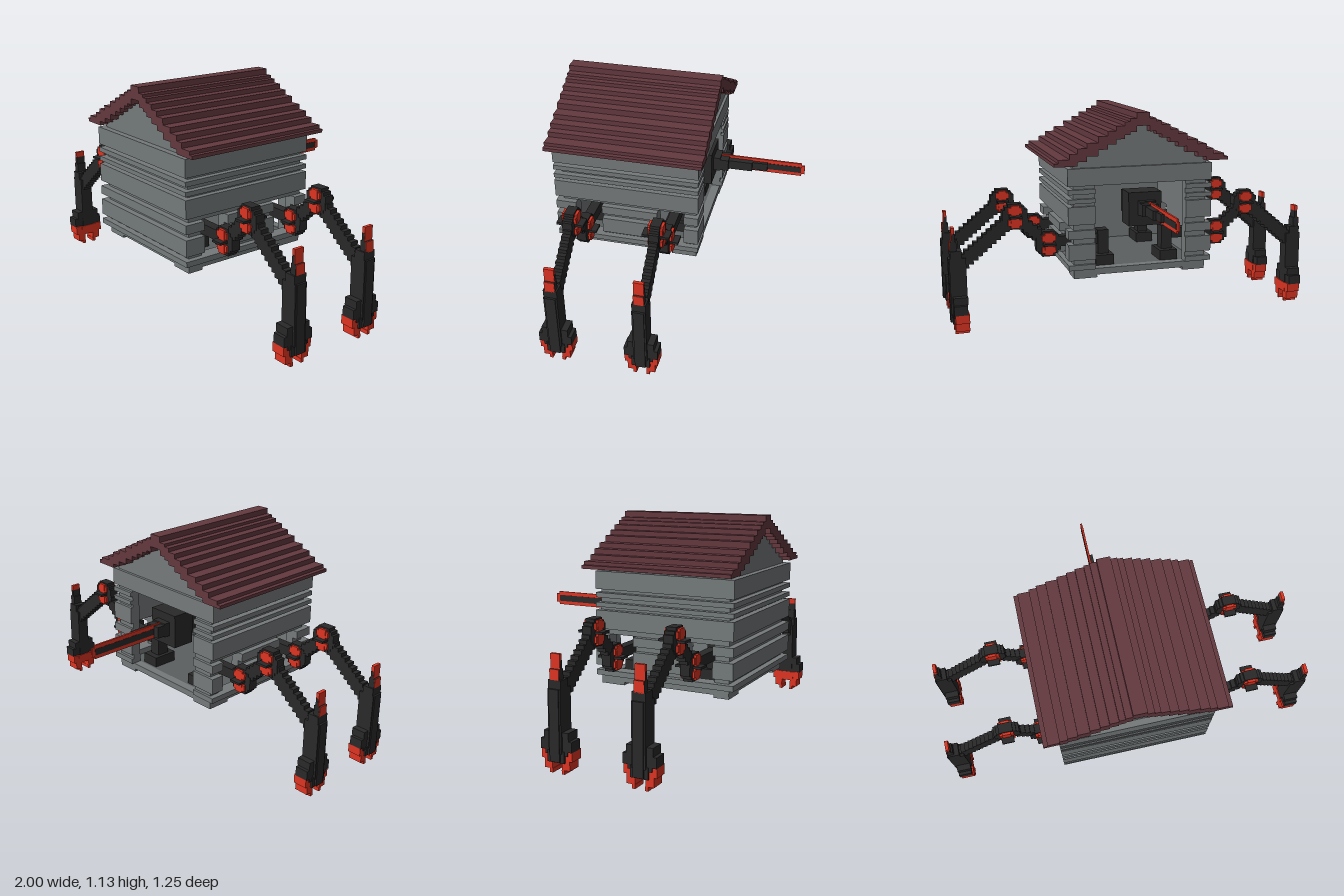
import * as THREE from 'three';

const mat = (name, color) => {
  const m = new THREE.MeshStandardMaterial({ color });
  m.name = name;
  return m;
};

export function createModel() {
  const grey = mat('wall grey', 0x757a7b);
  const floorGrey = mat('floor grey', 0x5b6060);
  const maroon = mat('roof maroon', 0x64393f);
  const dark = mat('iron black', 0x292929);
  const red = mat('accent red', 0xde3422);

  const model = new THREE.Group();
  model.name = 'walkingHut';
  const group = (name, parent = model) => {
    const g = new THREE.Group();
    g.name = name;
    parent.add(g);
    return g;
  };
  // Box given by its limits on each axis
  const box = (parent, name, m, x0, x1, y0, y1, z0, z1) => {
    const mesh = new THREE.Mesh(new THREE.BoxGeometry(x1 - x0, y1 - y0, z1 - z0), m);
    mesh.position.set((x0 + x1) / 2, (y0 + y1) / 2, (z0 + z1) / 2);
    mesh.name = name;
    parent.add(mesh);
    return mesh;
  };

  // Plank walls: bottom and top of each layer, and whether it sticks out
  const walls = group('walls');
  const layers = [
    [0.283, 0.317, 0], [0.317, 0.345, 1], [0.345, 0.37, 0], [0.37, 0.455, 1],
    [0.455, 0.484, 0], [0.484, 0.5, 1], [0.5, 0.53, 1], [0.53, 0.56, 0],
    [0.56, 0.655, 1], [0.655, 0.672, 0], [0.672, 0.695, 1], [0.695, 0.72, 0],
    [0.72, 0.745, 1], [0.745, 0.763, 0], [0.763, 0.855, 1], [0.855, 0.88, 0],
  ];
  for (const [y0, y1, wide] of layers) {
    const x = wide ? 0.395 : 0.365, zf = wide ? 0.613 : 0.58, zb = wide ? -0.145 : -0.13;
    box(walls, 'frontPlank', grey, -x, x, y0, y1, 0.53, zf);
    // Doorway in the back wall
    if (y0 > 0.31 && y1 < 0.765) {
      box(walls, 'backJamb', grey, -x, -0.25, y0, y1, zb, -0.085);
      box(walls, 'backJamb', grey, 0.25, x, y0, y1, zb, -0.085);
    } else box(walls, 'backPlank', grey, -x, x, y0, y1, zb, -0.085);
    // Openings in the sides where the legs pass through
    const spans = y0 >= 0.345 && y1 <= 0.53
      ? [[-0.085, -0.07], [0.07, 0.365], [0.505, 0.53]] : [[-0.085, 0.53]];
    for (const [z0, z1] of spans) {
      box(walls, 'sidePlank', grey, -x, -0.32, y0, y1, z0, z1);
      box(walls, 'sidePlank', grey, 0.32, x, y0, y1, z0, z1);
    }
  }
  for (const s of [-1, 1]) {
    for (const [z0, z1] of [[0.5, 0.58], [-0.13, 0]]) {
      box(walls, 'cornerFoot', grey, s * 0.302 - 0.062, s * 0.302 + 0.062, 0.268, 0.29, z0, z1);
    }
  }
  box(walls, 'floor', floorGrey, -0.33, 0.33, 0.295, 0.315, -0.09, 0.54);

  // Roof boards of uneven width, [outer edge, top], with gables below them
  const roof = group('roof');
  const gables = group('gables');
  const boards = [
    [0.035, 1.135], [0.07, 1.105], [0.1, 1.09], [0.145, 1.07], [0.19, 1.045], [0.24, 1.02],
    [0.3, 0.988], [0.35, 0.962], [0.39, 0.935], [0.45, 0.908], [0.472, 0.89],
  ];
  boards.forEach(([edge, top], i) => {
    const inner = i ? boards[i - 1][0] : 0;
    const bottom = Math.max(0.872, top - 0.068);
    for (const s of [-1, 1]) {
      const xs = [s * inner, s * edge].sort((a, b) => a - b);
      box(roof, 'roofBoard', maroon, ...xs, bottom, top, -0.178, 0.626);
      if (bottom > 0.885 && inner < 0.34) {
        box(gables, 'frontGable', grey, ...xs, 0.87, bottom, 0.53, 0.58);
        box(gables, 'backGable', grey, ...xs, 0.87, bottom, -0.13, -0.085);
      }
    }
  });

  // A stair of small blocks running between two points
  const stair = (parent, name, a, b, n, wx, hy, hz) => {
    for (let i = 0; i < n; i++) {
      const t = (i + 0.5) / n;
      const x = a[0] + (b[0] - a[0]) * t, y = a[1] + (b[1] - a[1]) * t;
      box(parent, name, dark, x - wx, x + wx, y - hy, y + hy, -hz, hz);
    }
  };
  // Blocky round joint with red caps on both faces and a thin pin through it
  const joint = (parent, name, x, y) => {
    const g = group(name, parent);
    for (const [hx, hy] of [[0.066, 0.036], [0.036, 0.068], [0.052, 0.052]]) {
      box(g, 'jointCore', dark, x - hx, x + hx, y - hy, y + hy, -0.025, 0.025);
    }
    for (const yy of [-0.032, 0.032]) {
      box(g, 'jointCap', red, x - 0.037, x + 0.037, y + yy - 0.016, y + yy + 0.016, -0.036, 0.036);
      box(g, 'jointCap', red, x - 0.022, x + 0.022, y + yy - 0.028, y + yy + 0.028, -0.038, 0.038);
    }
    box(g, 'jointPin', dark, x - 0.032, x + 0.032, y - 0.004, y + 0.008, -0.068, 0.068);
  };

  // Four legs; the left pair is built, the right pair is turned half round
  for (const side of [-1, 1]) {
    for (const z of [0, 0.43]) {
      const leg = group(`${side > 0 ? 'left' : 'right'}${z ? 'Front' : 'Back'}Leg`);
      leg.position.z = z;
      if (side < 0) leg.rotation.y = Math.PI;
      // Strut inside the hut
      box(leg, 'strutBase', dark, 0.13, 0.23, 0.315, 0.37, -0.07, 0.07);
      box(leg, 'strutPeg', dark, 0.145, 0.215, 0.28, 0.32, -0.035, 0.035);
      box(leg, 'strutPost', dark, 0.15, 0.21, 0.36, 0.5, -0.035, 0.035);
      box(leg, 'hipArm', dark, 0.18, 0.43, 0.425, 0.48, -0.025, 0.025);
      joint(leg, 'hip', 0.475, 0.442);
      stair(leg, 'upperLeg', [0.5, 0.465], [0.64, 0.59], 6, 0.025, 0.03, 0.022);
      joint(leg, 'knee', 0.65, 0.6);
      stair(leg, 'lowerLeg', [0.69, 0.57], [0.93, 0.37], 10, 0.024, 0.038, 0.022);
      // Shin rising into a spike
      box(leg, 'shin', dark, 0.91, 0.995, 0.1, 0.4, -0.034, 0.034);
      box(leg, 'shinPlate', dark, 0.97, 1, 0.06, 0.4, -0.026, 0.026);
      box(leg, 'spike', dark, 0.93, 0.99, 0.4, 0.44, -0.034, 0.034);
      box(leg, 'spike', dark, 0.955, 0.987, 0.44, 0.49, -0.026, 0.026);
      box(leg, 'spike', dark, 0.963, 0.977, 0.49, 0.53, -0.026, 0.026);
      box(leg, 'spikeTip', red, 0.963, 0.977, 0.53, 0.56, -0.025, 0.025);
      box(leg, 'spikeStripe', red, 0.987, 0.99, 0.435, 0.49, -0.025, 0.025);
      box(leg, 'spikeStripe', red, 0.977, 0.98, 0.485, 0.56, -0.025, 0.025);
      // Foot with claws closing inward
      box(leg, 'foot', dark, 0.915, 0.985, 0.11, 0.16, -0.083, 0.083);
      box(leg, 'ankle', dark, 0.91, 0.985, 0.16, 0.2, -0.066, 0.066);
      box(leg, 'footCore', dark, 0.92, 0.985, 0.09, 0.11, -0.06, 0.06);
      box(leg, 'footCore', dark, 0.92, 0.99, 0.055, 0.11, -0.045, 0.045);
      for (const s of [-1, 1]) {
        const claw = (a, b, y0, y1) => {
          const zs = [s * a, s * b].sort((p, q) => p - q);
          box(leg, 'claw', red, 0.907, 0.98, y0, y1, ...zs);
        };
        claw(0.046, 0.082, 0.065, 0.112);
        claw(0.026, 0.068, 0.02, 0.09);
        claw(0.024, 0.04, 0.0, 0.02);
      }
      box(leg, 'heel', red, 0.906, 0.92, 0.057, 0.11, -0.045, 0.045);
    }
  }

  // Mounted blade in the doorway
  const blade = group('blade');
  box(blade, 'mountBlock', dark, -0.11, 0.07, 0.535, 0.715, -0.145, -0.02);
  box(blade, 'mountBack', dark, -0.08, 0.04, 0.57, 0.69, -0.02, 0.1);
  box(blade, 'mountCollar', dark, -0.07, 0.02, 0.595, 0.67, -0.18, -0.145);
  box(blade, 'mountCollar', dark, -0.068, 0.02, 0.6, 0.662, -0.225, -0.18);
  box(blade, 'barrel', dark, -0.028, 0.005, 0.606, 0.655, -0.35, -0.22);
  box(blade, 'barrel', dark, -0.028, -0.01, 0.61, 0.652, -0.43, -0.35);
  box(blade, 'barrel', dark, -0.038, -0.025, 0.614, 0.648, -0.608, -0.22);
  box(blade, 'edge', red, -0.037, -0.027, 0.595, 0.668, -0.61, -0.18);
  box(blade, 'edgeTip', red, -0.037, -0.027, 0.608, 0.655, -0.627, -0.61);

  return model;
}
